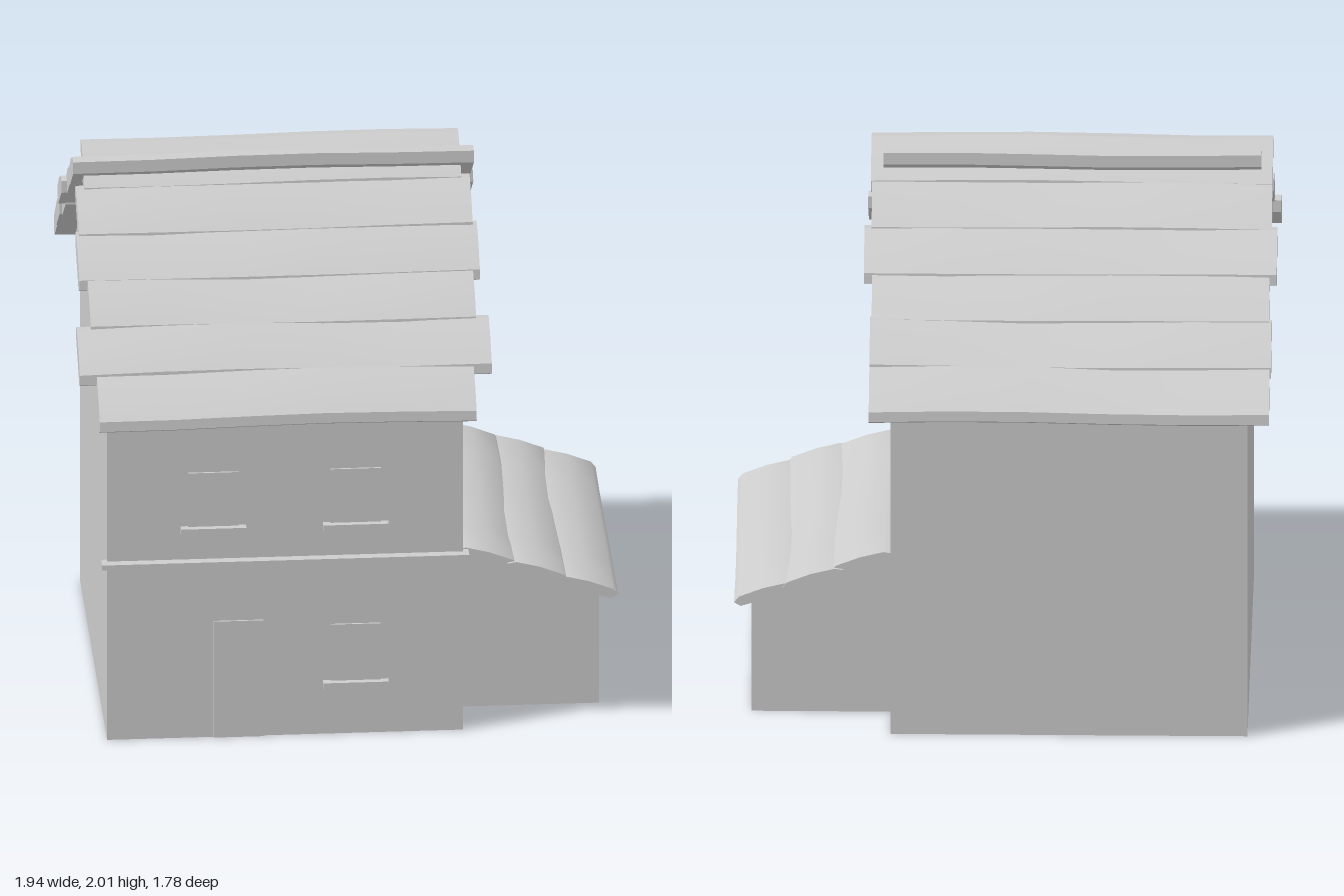
import * as THREE from 'three';
import { toCreasedNormals } from 'three/addons/utils/BufferGeometryUtils.js';

const plaster = new THREE.MeshStandardMaterial({ color: 0xcccccc });
plaster.name = 'pale plaster';

function add(parent, name, geometry) {
  const mesh = new THREE.Mesh(geometry, plaster);
  mesh.name = name;
  parent.add(mesh);
  return mesh;
}

// Box given by its minimum and maximum on each axis
function box(parent, name, [x0, x1], [y0, y1], [z0, z1]) {
  const g = new THREE.BoxGeometry(x1 - x0, y1 - y0, z1 - z0);
  g.translate((x0 + x1) / 2, (y0 + y1) / 2, (z0 + z1) / 2);
  return add(parent, name, g);
}

function extrude(points, depth, steps = 1) {
  const shape = new THREE.Shape(points.map(([x, y]) => new THREE.Vector2(x, y)));
  return new THREE.ExtrudeGeometry(shape, { depth, steps, bevelEnabled: false });
}

// Slightly uneven board with a lens-shaped section; u runs up the slope
function board(width, thick, start, end, seed) {
  const t = thick / 2;
  const g = extrude([
    [0, 0], [0.08 * width, -t], [0.9 * width, -t], [width, 0],
    [0.88 * width, 0.7 * t], [0.5 * width, t], [0.1 * width, 0.75 * t],
  ], end - start, 5);
  g.translate(0, 0, start);
  const p = g.attributes.position;
  for (let i = 0; i < p.count; i++) {
    const z = p.getZ(i);
    p.setY(i, p.getY(i) + 0.004 * Math.sin(z * 5 + seed * 2.1));
    p.setX(i, p.getX(i) + 0.004 * Math.sin(z * 4 + seed * 1.3));
  }
  return toCreasedNormals(g, 0.6);
}

// Overlapping boards laid from the eave to the top of a slope
function slope(name, eave, up, normal, length, thick, ends) {
  const group = new THREE.Group();
  group.name = name;
  const pitch = length / (ends.length + 0.25);
  ends.forEach(([a, b], i) => {
    const mesh = add(group, 'roofBoard', board(pitch * 1.25, thick, a, b, i + length));
    mesh.position.x = i * pitch;
  });
  const across = new THREE.Vector3().crossVectors(up, normal);
  group.applyMatrix4(new THREE.Matrix4().makeBasis(up, normal, across).setPosition(eave));
  return group;
}

export function createModel() {
  const house = new THREE.Group();
  house.name = 'house';

  // Main walls and gable
  box(house, 'walls', [-0.87, 0.405], [0, 1.355], [-0.687, 0.687]);
  const gable = add(house, 'gable', extrude([[-0.69, 1.355], [0.69, 1.355], [0, 1.91]], 1.295));
  gable.rotation.y = Math.PI / 2;
  gable.position.x = -0.887;

  // Main roof: the two slopes cross at the ridge
  const a = Math.atan2(0.7, 0.98);
  const length = Math.hypot(0.7, 0.98);
  const eave = new THREE.Vector3(0, 1.305, 0.885);
  const up = new THREE.Vector3(0, Math.sin(a), -Math.cos(a));
  const normal = new THREE.Vector3(0, Math.cos(a), Math.sin(a));
  const frontEnds = [[-0.91, 0.44], [-0.97, 0.505], [-0.92, 0.46],
    [-0.95, 0.485], [-0.94, 0.47], [-0.91, 0.44]];
  const backEnds = [[-0.95, 0.48], [-0.955, 0.48], [-0.945, 0.475],
    [-0.97, 0.505], [-0.95, 0.48], [-0.95, 0.485]];
  house.add(slope('frontRoof', eave, up, normal, length, 0.075, frontEnds));
  const back = new THREE.Group();
  back.name = 'backRoofSide';
  back.rotation.y = Math.PI;
  back.add(slope('backRoof', eave, up, normal, length, 0.075, backEnds.map(([l, r]) => [-r, -l])));
  house.add(back);

  // Lean-to with sloping top
  const leanTo = add(house, 'leanToWalls',
    extrude([[0.38, 0], [0.905, 0], [0.905, 0.45], [0.38, 0.635]], 0.98));
  leanTo.position.z = -0.49;
  const b = Math.atan2(0.19, 0.58);
  house.add(slope('leanToRoof', new THREE.Vector3(0.968, 0.452, 0),
    new THREE.Vector3(-Math.cos(b), Math.sin(b), 0),
    new THREE.Vector3(Math.sin(b), Math.cos(b), 0), 0.6, 0.042,
    [[-0.545, 0.55], [-0.55, 0.555], [-0.54, 0.545]]));

  // Band between the storeys
  box(house, 'belt', [-0.89, 0.425], [0.68, 0.7], [0.67, 0.72]);

  // Windows with sills
  for (const [x, y, h] of [[-0.49, 0.83, 0.21], [0.02, 0.83, 0.21], [0.02, 0.21, 0.22]]) {
    box(house, 'window', [x - 0.09, x + 0.09], [y, y + h], [0.686, 0.694]);
    box(house, 'windowSill', [x - 0.117, x + 0.117], [y - 0.028, y], [0.67, 0.716]);
  }
  box(house, 'door', [-0.49, -0.31], [0, 0.455], [0.686, 0.694]);
  return house;
}
